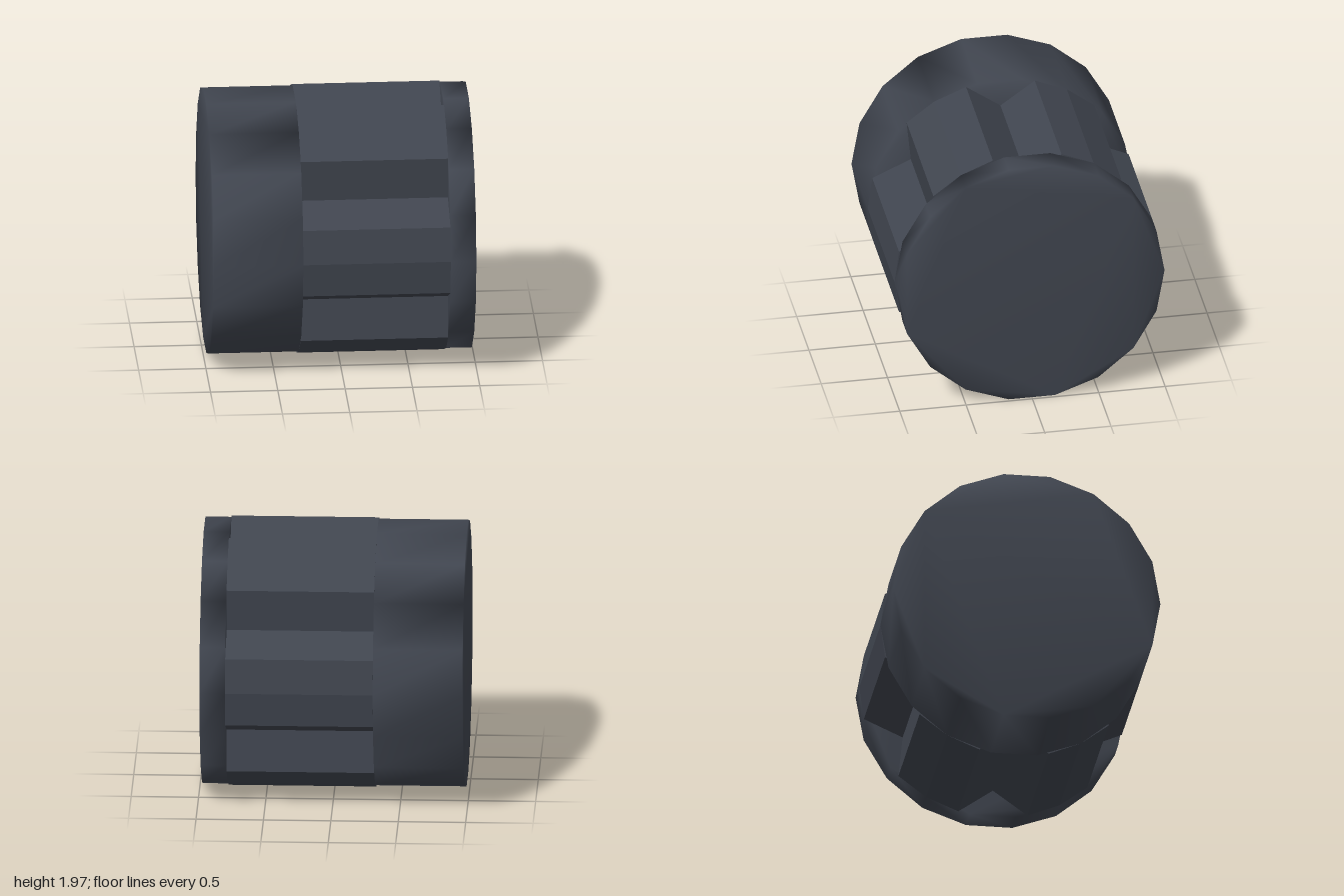
import * as THREE from 'three';
import { mergeVertices } from 'three/addons/utils/BufferGeometryUtils.js';

const CENTER_Y = 0.985;

// Polygonal prism lying along x; radiusAt(i) gives the radius of each corner
function prism(sides, radiusAt, x0, x1) {
  const points = [];
  for (let i = 0; i < sides; i++) {
    const a = (i / sides) * Math.PI * 2;
    points.push(new THREE.Vector2(Math.cos(a) * radiusAt(i), Math.sin(a) * radiusAt(i)));
  }
  const geometry = new THREE.ExtrudeGeometry(new THREE.Shape(points), {
    depth: x1 - x0, bevelEnabled: false, steps: 1,
  });
  geometry.rotateY(Math.PI / 2);
  geometry.translate(x0, CENTER_Y, 0);
  return geometry;
}

// Shares corners between rim and caps so the shading rolls over the edge
function smooth(geometry) {
  geometry.deleteAttribute('uv');
  geometry.deleteAttribute('normal');
  const merged = mergeVertices(geometry, 1e-4);
  merged.computeVertexNormals();
  return merged;
}

export function createModel() {
  const group = new THREE.Group();
  const color = 0x40454f;
  const smoothMaterial = new THREE.MeshStandardMaterial({ color });
  const flatMaterial = new THREE.MeshStandardMaterial({ color, flatShading: true });

  const add = (name, geometry, material) => {
    const mesh = new THREE.Mesh(geometry, material);
    mesh.name = name;
    group.add(mesh);
  };

  // End drums, 18-sided and softly shaded
  add('wideEndDrum', smooth(prism(18, () => 1, -0.975, -0.31)), smoothMaterial);
  add('narrowEndDisc', smooth(prism(18, () => 1, 0.785, 0.975)), smoothMaterial);

  // Grip with six lobes and six V-shaped grooves
  add('flutedGrip', prism(24, (i) => (i % 4 === 2 ? 0.78 : 1), -0.31, 0.785), flatMaterial);

  return group;
}
